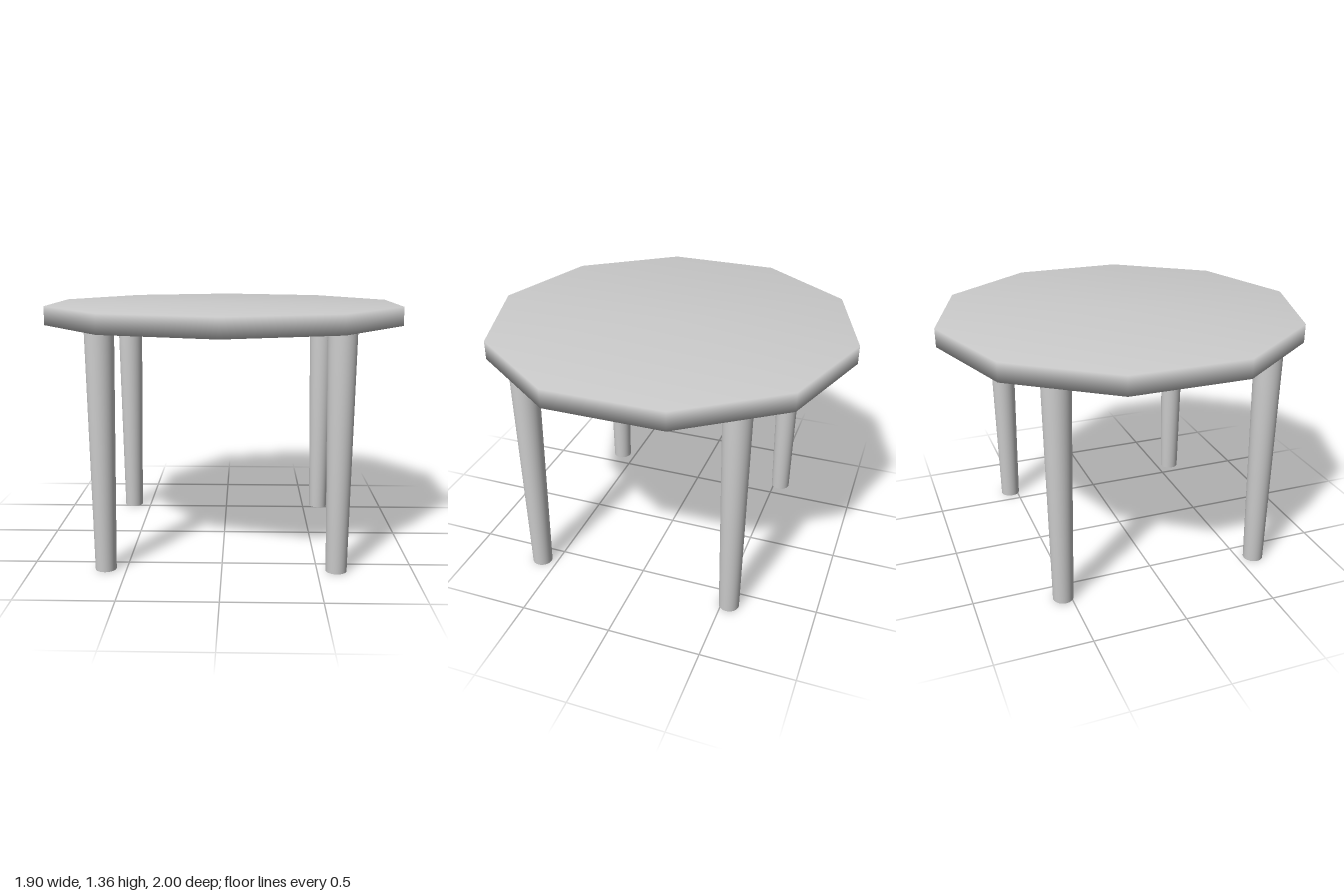
import * as THREE from 'three';
import { mergeVertices } from 'three/addons/utils/BufferGeometryUtils.js';

const material = new THREE.MeshStandardMaterial({ color: 0xcccccc });

// Capped cylinder between two heights, shaded smoothly across its rims
function smoothCylinder(name, rTop, rBottom, y0, y1, sides) {
  let geometry = new THREE.CylinderGeometry(rTop, rBottom, y1 - y0, sides);
  geometry.deleteAttribute('normal');
  geometry.deleteAttribute('uv');
  geometry = mergeVertices(geometry, 1e-4);
  geometry.computeVertexNormals();
  geometry.translate(0, (y0 + y1) / 2, 0);
  const mesh = new THREE.Mesh(geometry, material);
  mesh.name = name;
  return mesh;
}

export function createModel() {
  const table = new THREE.Group();
  table.name = 'table';

  // Ten-sided top, with a corner towards the front
  table.add(smoothCylinder('tableTop', 1, 1, 1.255, 1.355, 10));

  // Four legs tapering towards the floor
  for (const [side, x] of [['Left', 0.6], ['Right', -0.61]]) {
    for (const [end, z] of [['front', 0.59], ['back', -0.54]]) {
      const leg = smoothCylinder(`${end}${side}Leg`, 0.075, 0.055, 0, 1.257, 32);
      leg.position.set(x, 0, z);
      table.add(leg);
    }
  }
  return table;
}
